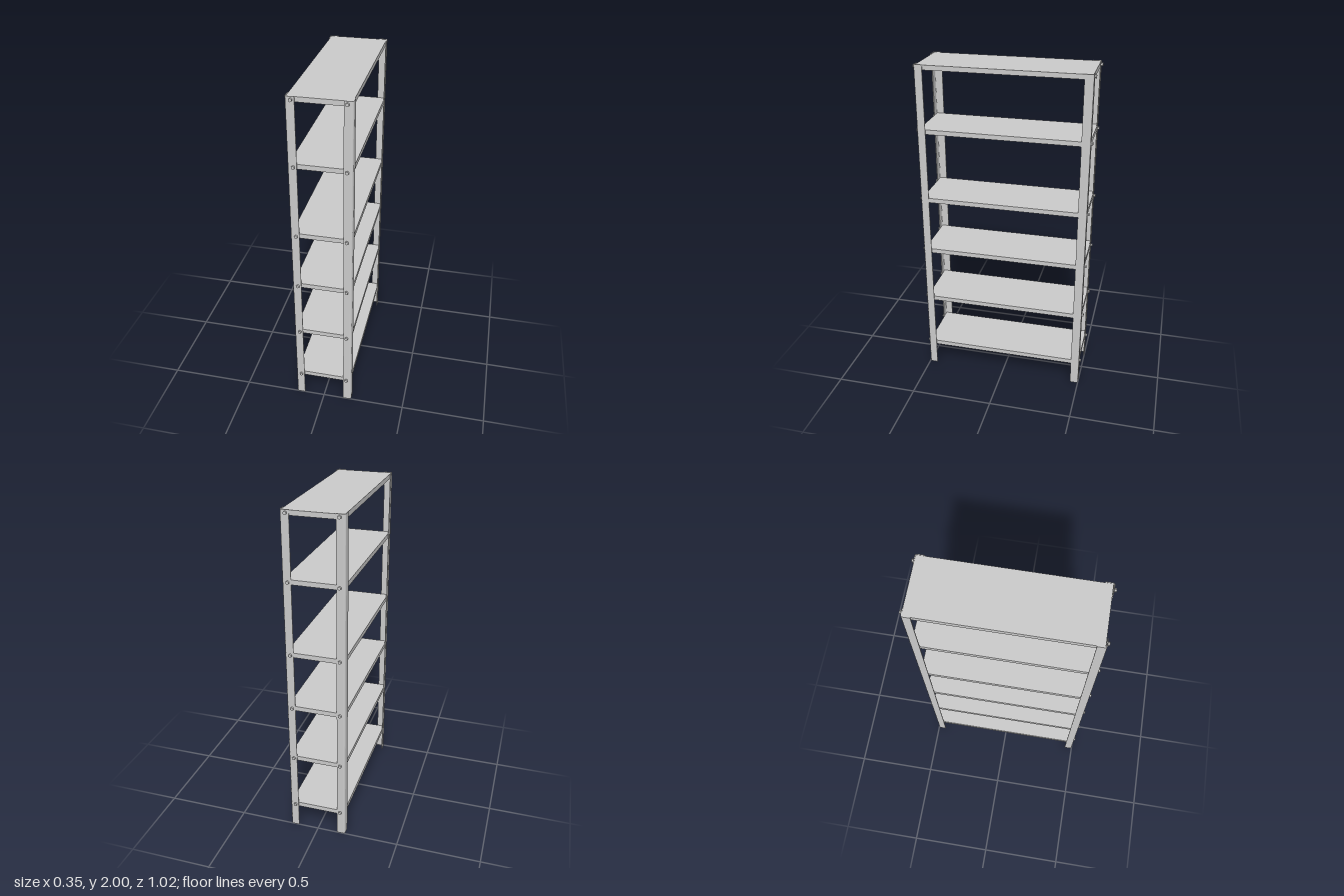
import * as THREE from 'three';

const HEIGHT = 2;
const X = 0.174, Z = 0.5;            // outer faces of the posts
const LEG = 0.05, WALL = 0.005;      // angle-iron leg width and thickness
const SHELF_H = 0.028;
const SHELF_W = 0.338, SHELF_BACK = -0.497, SHELF_FRONT = 0.492;
const SHELF_Y = [0.157, 0.5, 0.844, 1.185, 1.613, 1.984];   // middle of each shelf
const BOLT_X = 0.143;

const steel = new THREE.MeshStandardMaterial({ color: 0xcccccc, flatShading: true });

function addMesh(parent, name, geometry, x = 0, y = 0, z = 0) {
  const mesh = new THREE.Mesh(geometry, steel);
  mesh.name = name;
  mesh.position.set(x, y, z);
  parent.add(mesh);
  return mesh;
}

// L-shaped section with a rounded bend, extruded upwards
function postGeometry(sx, sz) {
  const pts = [[X - LEG, Z], [X - LEG, Z - WALL]];
  const arc = (r, from, to) => {
    for (let i = 0; i <= 4; i++) {
      const a = from + (to - from) * i / 4;
      pts.push([X - 0.012 + r * Math.cos(a), Z - 0.012 + r * Math.sin(a)]);
    }
  };
  arc(0.012 - WALL, Math.PI / 2, 0);
  pts.push([X - WALL, Z - LEG], [X, Z - LEG]);
  arc(0.012, 0, Math.PI / 2);
  const shape = new THREE.Shape(pts.map(([x, z]) => new THREE.Vector2(sx * x, -sz * z)));
  return new THREE.ExtrudeGeometry(shape, { depth: HEIGHT, bevelEnabled: false })
    .rotateX(-Math.PI / 2);
}

// Folded sheet tray, open underneath
function makeShelf(y) {
  const shelf = new THREE.Group();
  shelf.name = 'shelf';
  shelf.position.set(0, y, (SHELF_FRONT + SHELF_BACK) / 2);
  const depth = SHELF_FRONT - SHELF_BACK, t = 0.003;
  addMesh(shelf, 'shelfTop', new THREE.BoxGeometry(SHELF_W, t, depth), 0, SHELF_H / 2 - t / 2, 0);
  const flangeH = SHELF_H - t;
  for (const s of [-1, 1]) {
    addMesh(shelf, 'sideFlange', new THREE.BoxGeometry(t, flangeH, depth),
      s * (SHELF_W - t) / 2, -t / 2, 0);
    addMesh(shelf, 'endFlange', new THREE.BoxGeometry(SHELF_W - 2 * t, flangeH, t),
      0, -t / 2, s * (depth - t) / 2);
  }
  return shelf;
}

// Hex head outside, shank and nut inside
function makeBolt(x, y, sz) {
  const bolt = new THREE.Group();
  bolt.name = 'bolt';
  bolt.position.set(x, y, sz * Z);
  const part = (name, r, sides, len, z) =>
    addMesh(bolt, name, new THREE.CylinderGeometry(r, r, len, sides).rotateX(Math.PI / 2), 0, 0, sz * z);
  part('boltHead', 0.01, 6, 0.011, 0.0055);
  part('boltShank', 0.005, 12, 0.024, -0.01);
  part('nut', 0.009, 6, 0.006, -0.014);
  return bolt;
}

export function createModel() {
  const model = new THREE.Group();
  model.name = 'shelvingUnit';

  for (const sx of [-1, 1])
    for (const sz of [-1, 1])
      addMesh(model, `${sz > 0 ? 'front' : 'back'}${sx > 0 ? 'Left' : 'Right'}Post`, postGeometry(sx, sz));

  for (const y of SHELF_Y) {
    model.add(makeShelf(y));
    for (const sx of [-1, 1])
      for (const sz of [-1, 1]) model.add(makeBolt(sx * BOLT_X, y, sz));
  }
  return model;
}
